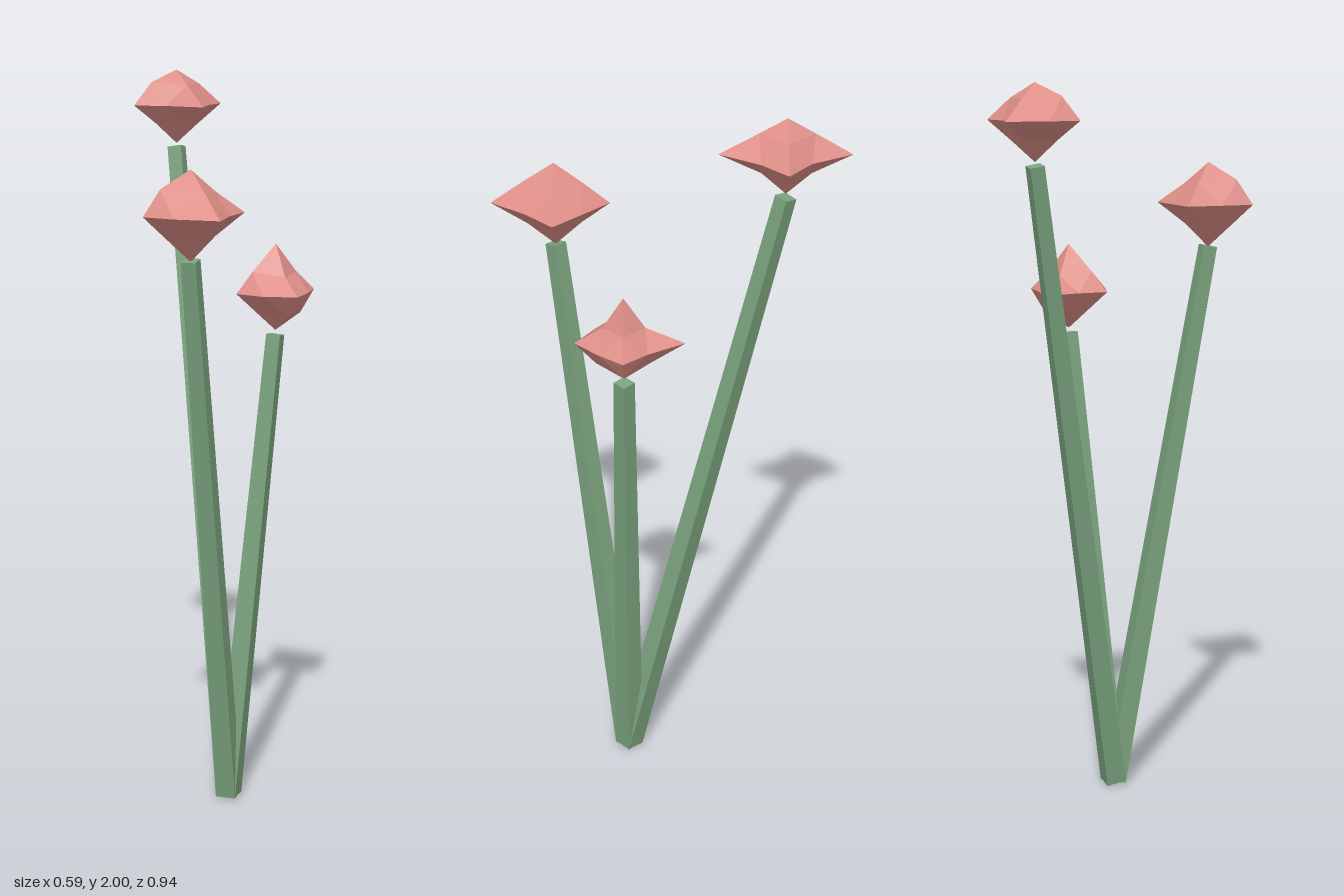
import * as THREE from 'three';

const green = new THREE.MeshStandardMaterial({ color: 0x7aa37e, flatShading: true });
const pink = new THREE.MeshStandardMaterial({ color: 0xdf8f88, flatShading: true });
const SQUASH = 0.8;
const ROOT = new THREE.Vector3(0.04, 0.01, 0.11);

// Radii of each blossom's points: layers go bottom to top, rows back to front,
// columns -x to +x (corners and centre are unused).
const FLOWERS = [
  { name: 'tall', centre: [0.075, 1.903, -0.303], radii: [
    [[0, 0.09, 0], [0.09, 0.134, 0.095], [0, 0.09, 0]],
    [[0.12, 0.167, 0.085], [0.13, 0, 0.138], [0.087, 0.173, 0.095]],
    [[0, 0.1, 0], [0.11, 0.121, 0.1], [0, 0.1, 0]]] },
  { name: 'middle', centre: [-0.166, 1.66, 0.298], radii: [
    [[0, 0.1, 0], [0.1, 0.15, 0.1], [0, 0.105, 0]],
    [[0.1, 0.148, 0.107], [0.133, 0, 0.154], [0.12, 0.171, 0.105]],
    [[0, 0.105, 0], [0.12, 0.144, 0.1], [0, 0.113, 0]]] },
  { name: 'short', centre: [0.177, 1.42, 0.11], radii: [
    [[0, 0.1, 0], [0.088, 0.131, 0.108], [0, 0.103, 0]],
    [[0.085, 0.16, 0.088], [0.118, 0, 0.118], [0.111, 0.128, 0.092]],
    [[0, 0.08, 0], [0.1, 0.163, 0.09], [0, 0.078, 0]]] },
];

// Faceted blossom: subdivided octahedron with every point pushed in or out
function blossomGeometry(radii) {
  const geo = new THREE.OctahedronGeometry(1, 1);
  const pos = geo.attributes.position;
  const v = new THREE.Vector3();
  const step = (n) => (Math.abs(n) < 0.1 ? 1 : Math.sign(n) + 1);
  for (let i = 0; i < pos.count; i++) {
    v.fromBufferAttribute(pos, i);
    v.multiplyScalar(radii[step(v.y)][step(v.z)][step(v.x)]);
    pos.setXYZ(i, v.x, v.y * SQUASH, v.z);
  }
  geo.computeVertexNormals();
  return geo;
}

// Four-sided tapering stem leaning from the shared root to its tip
function makeStem(tip) {
  const dir = tip.clone().sub(ROOT);
  const stem = new THREE.Mesh(new THREE.CylinderGeometry(0.028, 0.04, dir.length(), 4), green);
  stem.position.copy(ROOT).addScaledVector(dir, 0.5);
  stem.quaternion.setFromUnitVectors(new THREE.Vector3(0, 1, 0), dir.normalize());
  return stem;
}

export function createModel() {
  const model = new THREE.Group();
  model.name = 'flowerBunch';
  for (const { name, centre, radii } of FLOWERS) {
    const flower = new THREE.Group();
    flower.name = `${name}Flower`;

    const blossom = new THREE.Mesh(blossomGeometry(radii), pink);
    blossom.name = 'blossom';
    blossom.position.set(...centre);

    const stem = makeStem(blossom.position.clone().setY(centre[1] - 0.117));
    stem.name = 'stem';

    flower.add(stem, blossom);
    model.add(flower);
  }
  return model;
}
